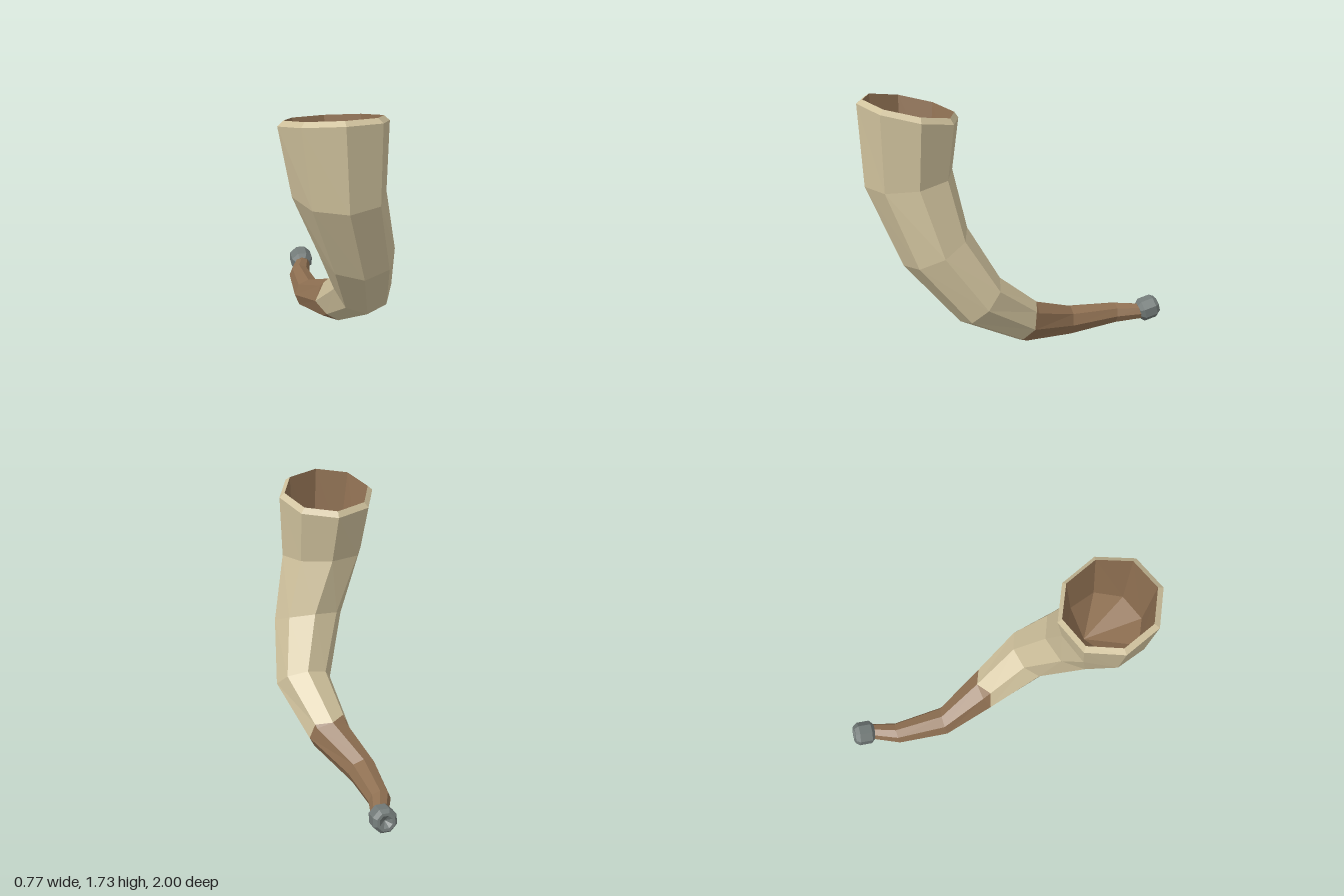
import * as THREE from 'three';

const SIDES = 8;

// Octagonal ring: centre, radius along x, and the (y, z) offset of its front or lower corner.
function ring(cx, cy, cz, r, dy, dz) {
  return Array.from({ length: SIDES }, (_, i) => {
    const a = (i / SIDES) * Math.PI * 2;
    const s = Math.sin(a);
    return new THREE.Vector3(cx + r * Math.cos(a), cy + dy * s, cz + dz * s);
  });
}

// Joins a run of rings into a faceted skin.
function skin(name, rings, material) {
  const pos = [];
  const tri = (...pts) => pts.forEach((p) => pos.push(p.x, p.y, p.z));
  for (let j = 0; j < rings.length - 1; j++) {
    const a = rings[j], b = rings[j + 1];
    for (let i = 0; i < SIDES; i++) {
      const n = (i + 1) % SIDES;
      tri(a[i], a[n], b[i]);
      tri(a[n], b[n], b[i]);
    }
  }
  const geometry = new THREE.BufferGeometry();
  geometry.setAttribute('position', new THREE.Float32BufferAttribute(pos, 3));
  geometry.computeVertexNormals();
  const mesh = new THREE.Mesh(geometry, material);
  mesh.name = name;
  return mesh;
}

function makeMaterial(name, color) {
  const m = new THREE.MeshStandardMaterial({ color, flatShading: true });
  m.name = name;
  return m;
}

export function createModel() {
  const bone = makeMaterial('bone', 0xcfc19c);
  const brown = makeMaterial('brown horn', 0x8f7052);
  const metal = makeMaterial('grey metal', 0x737b79);
  const group = new THREE.Group();
  group.name = 'horn';

  // Cross-sections from the wide mouth down to the thin tip
  const rings = [
    [-0.065, 1.64, 0.687, 0.32, 0.07, 0.312],
    [-0.035, 1.227, 0.705, 0.275, -0.028, 0.275],
    [0.1, 0.81, 0.585, 0.232, -0.1, 0.205],
    [0.2, 0.455, 0.333, 0.185, -0.13, 0.132],
    [0.107, 0.208, -0.02, 0.143, -0.127, 0.06],
    [-0.017, 0.105, -0.355, 0.098, -0.1, 0.013],
    [-0.022, 0.105, -0.69, 0.072, -0.07, 0.008],
    [0.03, 0.113, -0.86, 0.055, -0.053, 0],
  ].map((p) => ring(...p));

  // Zigzag line where the bone turns brown
  const border = rings[4].map((p, i) => {
    const t = i % 2 === 0 ? 0 : p.x < 0.107 ? 0.18 : 0.07;
    return p.clone().lerp(rings[3][i], t);
  });
  group.add(skin('hornBody', [...rings.slice(0, 4), border], bone));
  group.add(skin('hornTip', [border, ...rings.slice(4)], brown));

  // Bevelled lip and hollow inside
  const lip = ring(-0.065, 1.67, 0.681, 0.286, 0.062, 0.281);
  group.add(skin('lip', [lip, rings[0]], bone));
  const inner = ring(-0.04, 1.25, 0.7, 0.235, -0.02, 0.24);
  const apex = ring(0.02, 0.95, 0.61, 0, 0, 0);
  group.add(skin('hollow', [apex, inner, lip], brown));

  // Mouthpiece with a dished end
  const profile = [
    [0, 0], [0.055, 0], [0.08, 0.025], [0.08, 0.11],
    [0.06, 0.138], [0.042, 0.138], [0, 0.1],
  ].map(([r, y]) => new THREE.Vector2(r, y));
  const mouthpiece = new THREE.Mesh(new THREE.LatheGeometry(profile, SIDES, Math.PI / 8), metal);
  mouthpiece.name = 'mouthpiece';
  mouthpiece.position.set(0.03, 0.113, -0.85);
  mouthpiece.rotation.x = -1.345;
  group.add(mouthpiece);

  return group;
}
